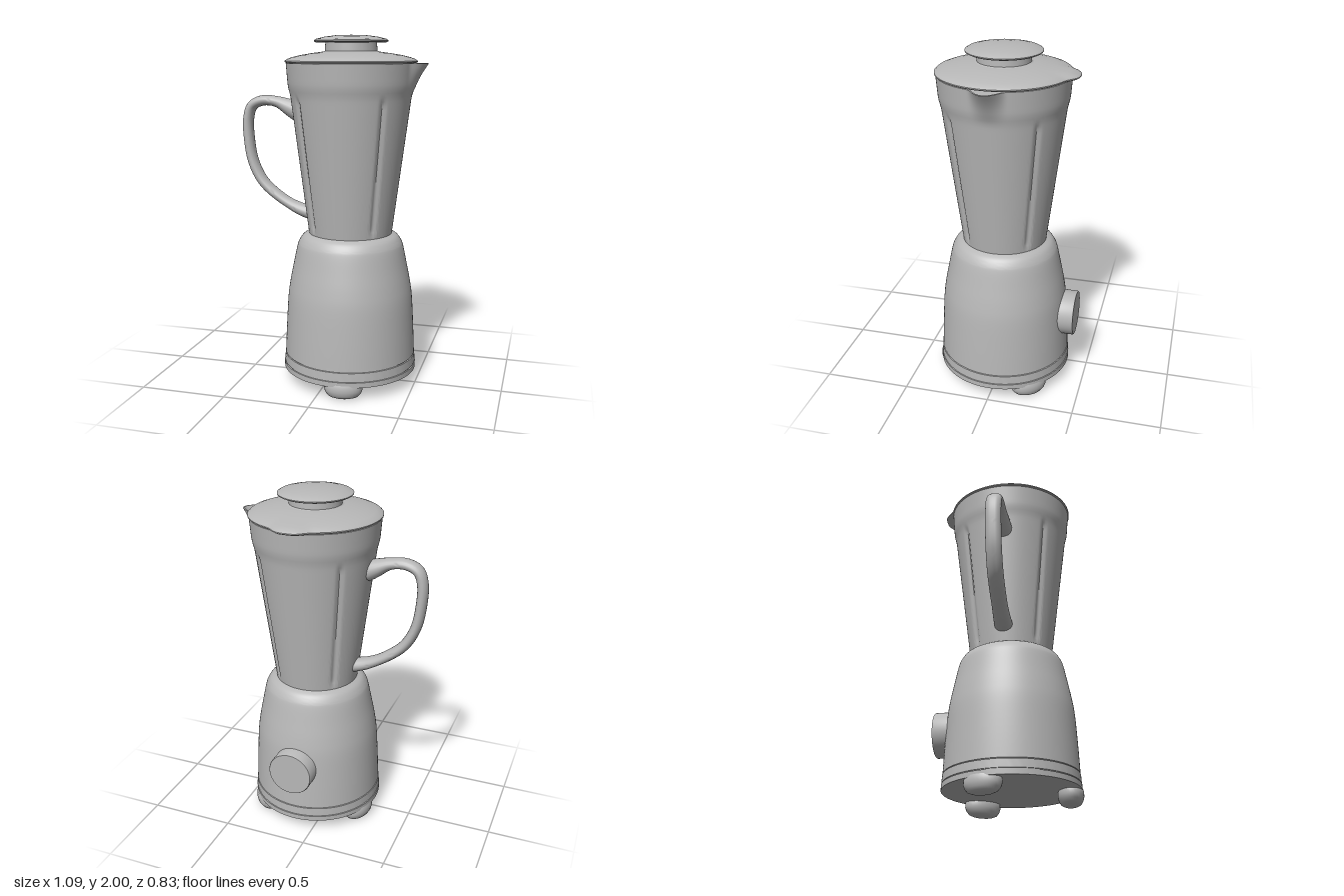
import * as THREE from 'three';
import { toCreasedNormals } from 'three/addons/utils/BufferGeometryUtils.js';

const smooth = THREE.MathUtils.smoothstep;

export function createModel() {
  const model = new THREE.Group();
  model.name = 'blender';
  const grey = new THREE.MeshStandardMaterial({ color: 0xb8b8b8 });
  grey.name = 'grey plastic';

  // all round parts share one vertical axis, slightly off the origin
  const body = new THREE.Group();
  body.name = 'body';
  body.position.set(0.103, 0, -0.008);
  model.add(body);

  function add(name, geometry) {
    const mesh = new THREE.Mesh(geometry, grey);
    mesh.name = name;
    body.add(mesh);
    return mesh;
  }

  const vec = (pts) => pts.map(([r, y]) => new THREE.Vector2(r, y));

  // revolve a profile; push(angle, y, r) returns a radial offset, angle 0 = +x, PI/2 = +z
  function lathe(name, pts, segments, push) {
    const geo = new THREE.LatheGeometry(pts, segments);
    const pos = geo.attributes.position;
    if (push) {
      for (let i = 0; i < pos.count; i++) {
        const x = pos.getX(i), z = pos.getZ(i), r = Math.hypot(x, z);
        if (r < 1e-4) continue;
        const k = 1 + push(Math.atan2(z, x), pos.getY(i), r) / r;
        pos.setX(i, x * k);
        pos.setZ(i, z * k);
      }
    }
    return add(name, toCreasedNormals(geo, 0.6));
  }

  // motor base: flat underside, two fine seams, rounded shoulder
  const shell = new THREE.SplineCurve(vec([
    [0.381, 0.168], [0.374, 0.32], [0.363, 0.5], [0.349, 0.6], [0.329, 0.7],
    [0.308, 0.8], [0.295, 0.835], [0.273, 0.865], [0.243, 0.882],
  ])).getPoints(36);
  lathe('motorBase', [
    ...vec([[0, 0.078], [0.388, 0.078], [0.388, 0.108], [0.382, 0.109], [0.382, 0.113],
      [0.386, 0.114], [0.383, 0.162], [0.376, 0.163], [0.376, 0.167]]),
    ...shell, ...vec([[0, 0.884]]),
  ], 96);

  // jar: tapered wall with four upright grooves, a collar and a pouring spout
  const wall = [];
  for (let i = 0; i <= 44; i++) {
    const y = 0.875 + 0.97 * i / 44;
    const taper = y < 1.66 ? 0.239 + (y - 0.875) * 0.129 : 0.34 + (y - 1.66) * 0.08;
    wall.push(new THREE.Vector2(taper + 0.01 * smooth(y, 1.65, 1.73), y));
  }
  const spout = (a, y) => Math.abs(a) < 0.29
    ? 0.073 * Math.pow(0.5 + 0.5 * Math.cos(a * Math.PI / 0.29), 0.9)
      * Math.pow(THREE.MathUtils.clamp((y - 1.66) / 0.185, 0, 1), 1.7) : 0;
  const groove = (a, y, r) => {
    const q = ((a % (Math.PI / 2)) + Math.PI / 2) % (Math.PI / 2) - Math.PI / 4;
    const d = Math.abs(q) * r / 0.028;
    const run = smooth(y, 0.89, 0.93) * (1 - smooth(y, 1.62, 1.67));
    return d < 1 ? -0.012 * run * (0.5 + 0.5 * Math.cos(d * Math.PI)) : 0;
  };
  lathe('jar', [
    ...wall, ...vec([[0.355, 1.846], [0.35, 1.8], [0.34, 1.75], [0, 1.74]]),
  ], 192, (a, y, r) => (r > 0.2 ? spout(a, y) + groove(a, y, r) : 0));

  // lid with a small lifting tab at the back
  lathe('lid', vec([
    [0, 1.846], [0.3, 1.846], [0.36, 1.846], [0.371, 1.852], [0.371, 1.858], [0.36, 1.867],
    [0.33, 1.878], [0.28, 1.89], [0.22, 1.9], [0.16, 1.908], [0, 1.91],
  ]), 128, (a, y, r) => {
    const off = Math.abs(a + Math.PI / 2);
    return 0.04 * (1 - smooth(off, 0.08, 0.36)) * smooth(r, 0.28, 0.36);
  });

  // knob: short neck under a shallow domed cap
  lathe('lidKnob', vec([
    [0.165, 1.904], [0.146, 1.912], [0.144, 1.957], [0.195, 1.958], [0.207, 1.964],
    [0.208, 1.97], [0.195, 1.978], [0.15, 1.989], [0.09, 1.997], [0, 2.0],
  ]), 96);

  // handle: oval tube that flares where it meets the jar
  const path = new THREE.CatmullRomCurve3([
    [-0.305, 1.565], [-0.36, 1.59], [-0.44, 1.623], [-0.53, 1.63], [-0.595, 1.6],
    [-0.621, 1.53], [-0.62, 1.41], [-0.595, 1.27], [-0.535, 1.155], [-0.43, 1.065],
    [-0.32, 1.005], [-0.225, 0.975],
  ].map(([x, y]) => new THREE.Vector3(x, y, 0)));
  const rings = 72, sides = 20;
  const tube = new THREE.TubeGeometry(path, rings, 0.03, sides);
  const tp = tube.attributes.position, p = new THREE.Vector3();
  for (let i = 0; i <= rings; i++) {
    const c = path.getPointAt(i / rings);
    const k = 1 + 0.9 * (1 - smooth(i, 0, 11)) + 0.35 * smooth(i, 60, rings);
    for (let j = 0; j <= sides; j++) {
      const n = i * (sides + 1) + j;
      p.fromBufferAttribute(tp, n).sub(c).multiplyScalar(k);
      p.z *= 1.5 / Math.sqrt(k);
      tp.setXYZ(n, c.x + p.x, c.y + p.y, p.z - 0.008);
    }
  }
  add('handle', toCreasedNormals(tube, 0.9));

  // control dial on the back
  const dial = lathe('controlDial', vec([
    [0, 0], [0.13, 0], [0.13, 0.177], [0.127, 0.182], [0, 0.182],
  ]), 64);
  dial.rotation.x = -Math.PI / 2;
  dial.position.set(0, 0.42, -0.25);

  // three rounded oval feet, longer along the rim
  for (const degrees of [82, 199, 321]) {
    const a = THREE.MathUtils.degToRad(degrees);
    const foot = lathe('foot', vec([
      [0, 0], [0.06, 0.002], [0.085, 0.011], [0.101, 0.028], [0.109, 0.05],
      [0.108, 0.075], [0.1, 0.09],
    ]), 32);
    foot.scale.x = 0.66;
    foot.rotation.y = -a;
    foot.position.set(Math.cos(a) * 0.325, 0, Math.sin(a) * 0.325);
  }

  return model;
}
